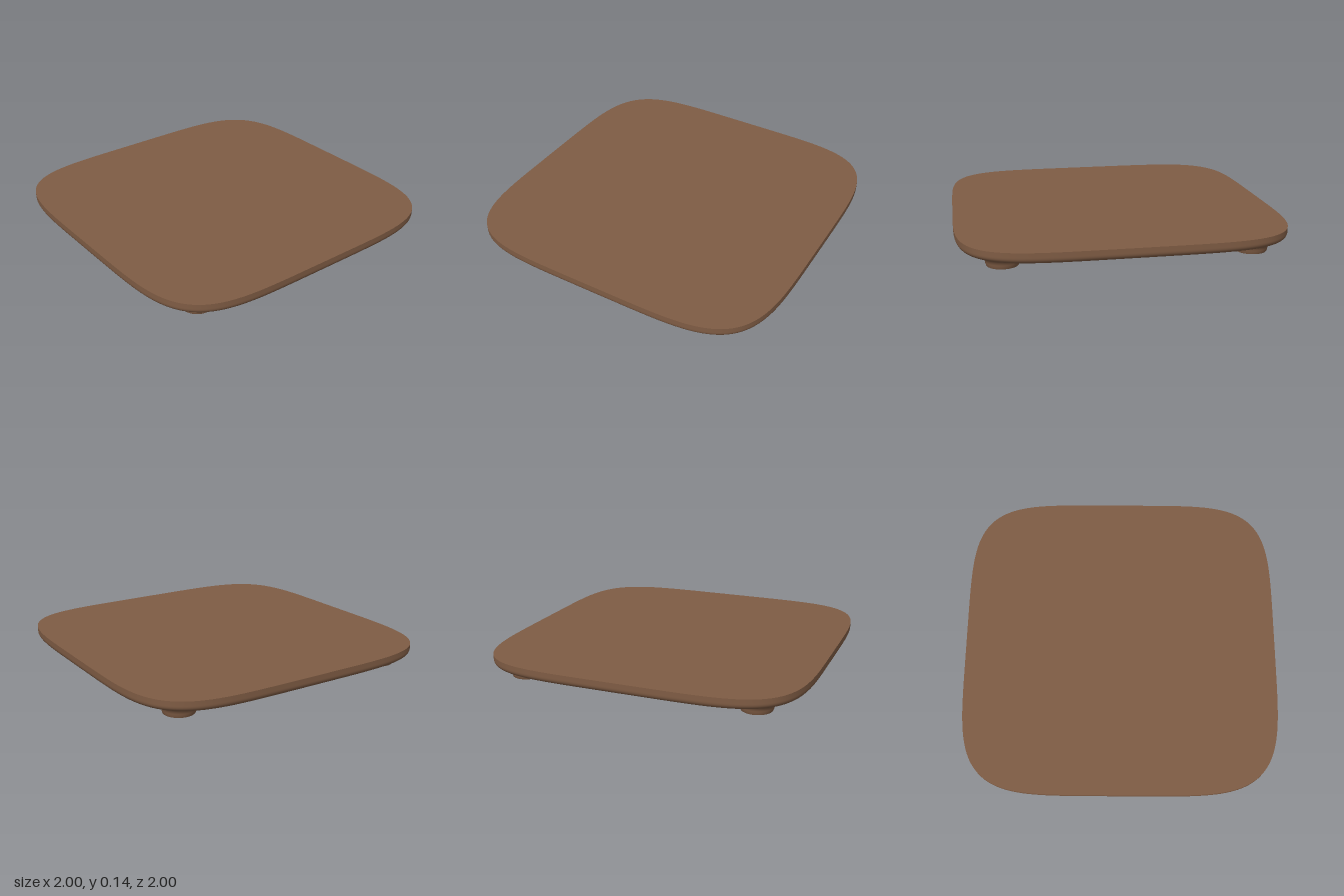
import * as THREE from 'three';

const SEGMENTS = 160;

// Point on the rounded-square outline (superellipse), half width 1
function outline(angle) {
  const bend = (v) => Math.sign(v) * Math.pow(Math.abs(v), 2 / 5);
  return [bend(Math.cos(angle)), bend(Math.sin(angle))];
}

// Smooth skin through outline rings; each ring is [scale, y], listed downwards
function loft(rings) {
  const positions = [];
  const index = [];
  rings.forEach(([scale, y], r) => {
    for (let i = 0; i < SEGMENTS; i++) {
      const [x, z] = outline((i / SEGMENTS) * Math.PI * 2);
      positions.push(x * scale, y, z * scale);
      if (r === 0) continue;
      const next = (i + 1) % SEGMENTS;
      const a = (r - 1) * SEGMENTS + i, b = (r - 1) * SEGMENTS + next;
      const c = r * SEGMENTS + i, d = r * SEGMENTS + next;
      index.push(a, b, c, b, d, c);
    }
  });
  const geometry = new THREE.BufferGeometry();
  geometry.setAttribute('position', new THREE.Float32BufferAttribute(positions, 3));
  geometry.setIndex(index);
  geometry.computeVertexNormals();
  return geometry;
}

export function createModel() {
  const model = new THREE.Group();
  model.name = 'footedBoard';
  const wood = new THREE.MeshStandardMaterial({ color: 0x7f5c44 });
  wood.name = 'brown wood';

  const add = (name, geometry, parent = model) => {
    const mesh = new THREE.Mesh(geometry, wood);
    mesh.name = name;
    parent.add(mesh);
    return mesh;
  };

  // Board: crisp flat top, straight rim, rounded lower edge, flat underside
  const TOP = 0.14, UNDER = 0.073, ROUND = 0.035;
  add('boardTop', loft([[0, TOP], [1, TOP]]));
  const rim = [[1, TOP], [1, UNDER + ROUND + 0.005]];
  for (let i = 0; i <= 8; i++) {
    const a = (i / 8) * Math.PI / 2;
    rim.push([1 - ROUND * (1 - Math.cos(a)), UNDER + ROUND * (1 - Math.sin(a))]);
  }
  rim.push([0.95, UNDER], [0, UNDER]);
  add('boardRimAndUnderside', loft(rim));

  // Foot: short round peg flaring into the underside
  const RADIUS = 0.092, FLARE = 0.06;
  const profile = [new THREE.Vector2(RADIUS, 0)];
  for (let i = 0; i <= 10; i++) {
    const a = (i / 10) * Math.PI / 2;
    profile.push(new THREE.Vector2(
      RADIUS + 0.005 + FLARE * 1.15 * (1 - Math.cos(a)),
      UNDER - FLARE + FLARE * Math.sin(a)
    ));
  }
  const flare = new THREE.LatheGeometry(profile, 48);
  const sole = new THREE.CircleGeometry(RADIUS, 48).rotateX(Math.PI / 2);

  for (const x of [-1, 1]) {
    for (const z of [-1, 1]) {
      const foot = new THREE.Group();
      foot.name = `${z > 0 ? 'front' : 'back'}${x > 0 ? 'Left' : 'Right'}Foot`;
      foot.position.set(x * 0.73, 0, z * 0.73);
      add('footFlare', flare, foot);
      add('footSole', sole, foot);
      model.add(foot);
    }
  }
  return model;
}
